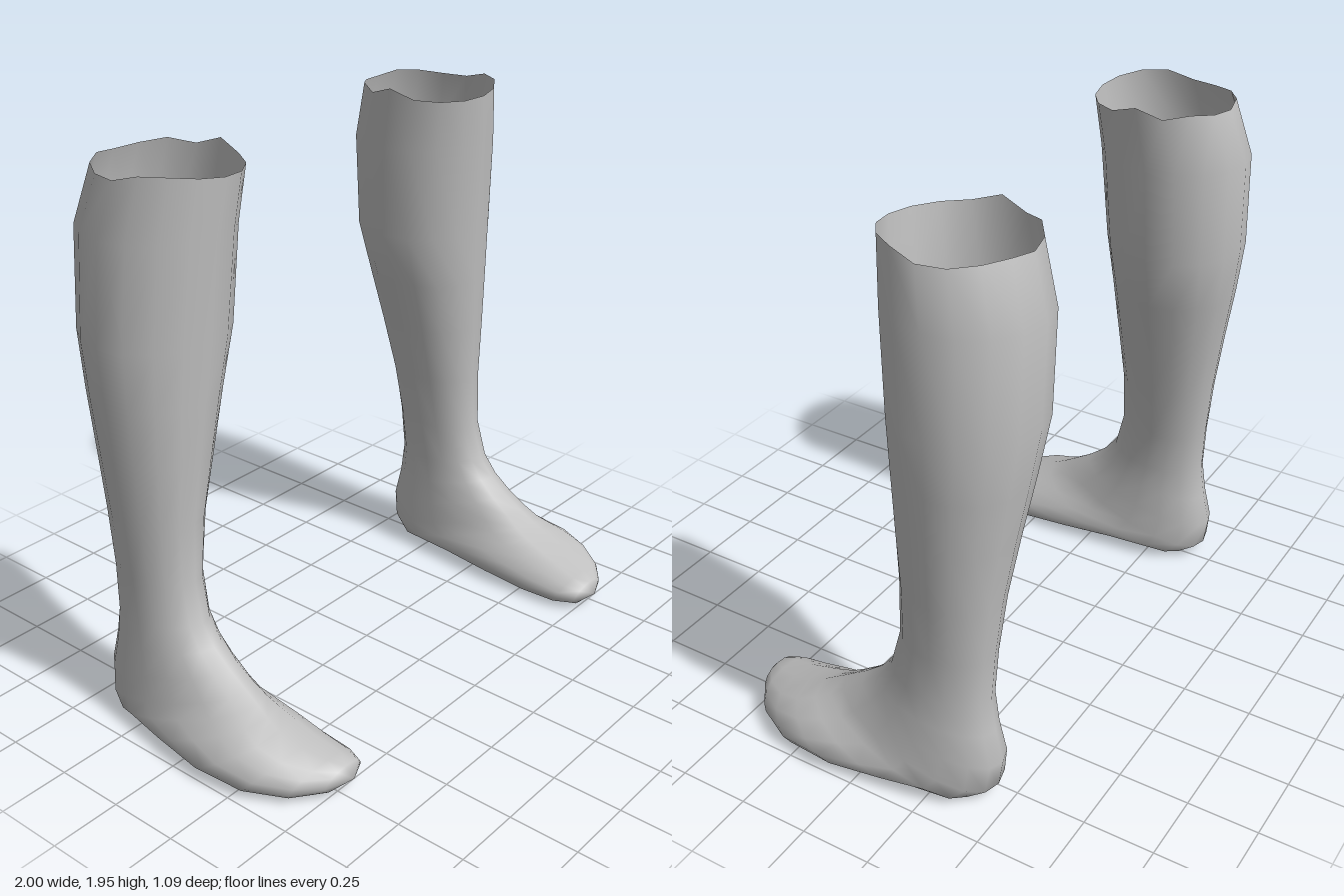
import * as THREE from 'three';

const SIDES = 16;

// Rings from cuff to toe, tilting from level at the leg to upright at the toe:
// [front y, front z, back y, back z, inner x, outer x, sole flatness]
const RINGS = [
  [1.93, 0.0, 1.93, -0.485, 0.42, 0.875, 1],
  [1.74, -0.018, 1.74, -0.545, 0.432, 0.917, 1],
  [1.4, -0.045, 1.4, -0.542, 0.45, 0.94, 1],
  [1.2, -0.06, 1.2, -0.515, 0.507, 0.93, 1],
  [1.0, -0.074, 1.0, -0.482, 0.56, 0.918, 1],
  [0.78, -0.09, 0.78, -0.45, 0.617, 0.903, 1],
  [0.57, -0.088, 0.57, -0.43, 0.655, 0.892, 1],
  [0.43, -0.052, 0.4, -0.422, 0.665, 0.9, 1],
  [0.36, 0.0, 0.28, -0.44, 0.66, 0.912, 1],
  [0.305, 0.07, 0.16, -0.467, 0.65, 0.925, 1.05],
  [0.255, 0.15, 0.06, -0.452, 0.64, 0.94, 1.15],
  [0.225, 0.2, 0.02, -0.385, 0.63, 0.955, 1.3],
  [0.2, 0.245, 0.025, -0.17, 0.617, 0.98, 1.5],
  [0.175, 0.305, 0.02, 0.06, 0.607, 1.0, 1.7],
  [0.145, 0.385, 0.008, 0.26, 0.607, 0.975, 1.7],
  [0.118, 0.465, 0.01, 0.41, 0.612, 0.905, 1.5],
  [0.1, 0.515, 0.018, 0.495, 0.64, 0.815, 1.2],
];

// Uneven cuff height, from the front round by the outer side
const CUFF = [0, 0.01, 0.02, 0.02, -0.005, -0.005, 0.005, 0.01,
  0, 0.005, 0.015, 0, 0.03, 0, -0.005, -0.005];

function stockingGeometry(side) {
  const pos = [], index = [];
  RINGS.forEach(([fy, fz, by, bz, xi, xo, flat], r) => {
    for (let j = 0; j < SIDES; j++) {
      const a = (j / SIDES) * Math.PI * 2;
      const s = Math.sin(a);
      const t = 1 - Math.pow((1 + Math.cos(a)) / 2, flat);
      const wide = Math.sign(s) * Math.pow(Math.abs(s), 1 / Math.sqrt(flat));
      // Flatten the lower side of the foot, leaving the instep domed
      const p = flat > 1 ? t : (1 - Math.cos(a)) / 2;
      pos.push(
        side * ((xi + xo) / 2 + wide * (xo - xi) / 2),
        fy + (by - fy) * p + (r === 0 ? CUFF[j] : 0),
        fz + (bz - fz) * p,
      );
    }
  });
  const tri = (a, b, c) => (side > 0 ? index.push(a, b, c) : index.push(a, c, b));
  for (let r = 0; r < RINGS.length - 1; r++) {
    for (let j = 0; j < SIDES; j++) {
      const k = (j + 1) % SIDES;
      const a = r * SIDES + j, b = r * SIDES + k;
      tri(a, a + SIDES, b + SIDES);
      tri(a, b + SIDES, b);
    }
  }
  // Toe cap
  const tip = pos.length / 3, last = tip - SIDES;
  pos.push(side * 0.72, 0.062, 0.545);
  for (let j = 0; j < SIDES; j++) tri(last + j, tip, last + ((j + 1) % SIDES));

  const g = new THREE.BufferGeometry();
  g.setAttribute('position', new THREE.Float32BufferAttribute(pos, 3));
  g.setIndex(index);
  g.computeVertexNormals();
  return g;
}

export function createModel() {
  const group = new THREE.Group();
  group.name = 'stockings';
  // Open at the cuff, so the inside shows
  const fabric = new THREE.MeshStandardMaterial({ color: 0xc0c0c0, side: THREE.DoubleSide });
  fabric.name = 'grey fabric';
  for (const [name, side] of [['leftStocking', 1], ['rightStocking', -1]]) {
    const mesh = new THREE.Mesh(stockingGeometry(side), fabric);
    mesh.name = name;
    group.add(mesh);
  }
  return group;
}
